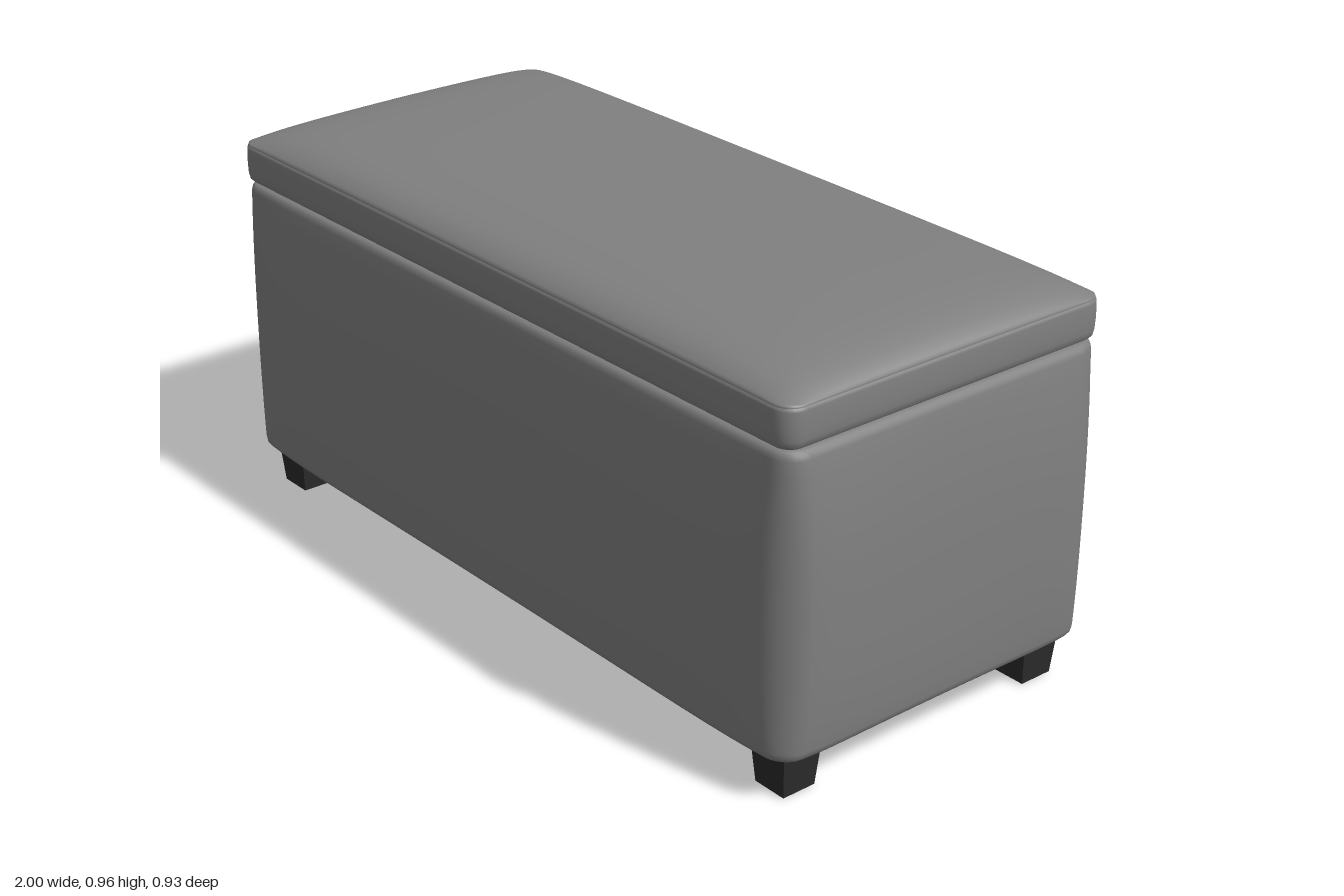
import * as THREE from 'three';

// Points of a rounded rectangle, counterclockwise seen from above
function roundedRing(hx, hz, r) {
  const pts = [];
  const corners = [[1, -1], [-1, -1], [-1, 1], [1, 1]];
  const arcs = corners.map(([sx, sz], k) => {
    const arc = [];
    for (let i = 0; i <= 6; i++) {
      const a = (k + i / 6) * Math.PI / 2;
      arc.push([sx * (hx - r) + r * Math.cos(a), sz * (hz - r) - r * Math.sin(a)]);
    }
    return arc;
  });
  arcs.forEach((arc, k) => {
    pts.push(...arc);
    const a = arc[6], b = arcs[(k + 1) % 4][0];
    for (let i = 1; i < 20; i++) {
      const t = (1 - Math.cos(Math.PI * i / 20)) / 2;
      pts.push([a[0] + (b[0] - a[0]) * t, a[1] + (b[1] - a[1]) * t]);
    }
  });
  return pts;
}

// Loft through [inset, y] rows from bottom to top, closed at both ends
function loft(hx, hz, r, rows, deform) {
  const pos = [], idx = [];
  let n = 0;
  for (const [d, y] of rows) {
    const ring = roundedRing(hx - d, hz - d, Math.max(r - d, 0.004));
    n = ring.length;
    for (const [x, z] of ring) pos.push(...deform(x, y, z));
  }
  for (let j = 0; j < rows.length - 1; j++) {
    for (let i = 0; i < n; i++) {
      const a = j * n + i, b = j * n + (i + 1) % n;
      idx.push(a, b, a + n, b, b + n, a + n);
    }
  }
  const last = (rows.length - 1) * n, c = pos.length / 3;
  pos.push(...deform(0, rows[0][1], 0), ...deform(0, rows[rows.length - 1][1], 0));
  for (let i = 0; i < n; i++) {
    const k = (i + 1) % n;
    idx.push(c, k, i, c + 1, last + i, last + k);
  }
  const g = new THREE.BufferGeometry();
  g.setAttribute('position', new THREE.Float32BufferAttribute(pos, 3));
  g.setIndex(idx);
  g.computeVertexNormals();
  return g;
}

export function createModel() {
  const group = new THREE.Group();
  const make = (name, color) => {
    const m = new THREE.MeshStandardMaterial({ color });
    m.name = name;
    return m;
  };
  const leather = make('grey leather', 0x808080);
  const darkWood = make('dark wood', 0x2b2b2b);
  darkWood.flatShading = true;
  const add = (name, geo, mat, x = 0, y = 0, z = 0) => {
    const mesh = new THREE.Mesh(geo, mat);
    mesh.name = name;
    mesh.position.set(x, y, z);
    group.add(mesh);
    return mesh;
  };

  // Padded box: sides swell outwards between the corners
  const HX = 0.973, HZ = 0.44;
  const swell = (t) => Math.max(0, 1 - t ** 8) * (0.8 + 0.4 * t * t);
  const bodyRows = [[0.43, 0.105], [0.06, 0.105], [0.03, 0.105], [0.018, 0.106], [0.008, 0.11], [0.002, 0.118], [0, 0.13]];
  for (let i = 1; i <= 18; i++) bodyRows.push([0, 0.13 + 0.655 * i / 18]);
  bodyRows.push([0.002, 0.796], [0.007, 0.802], [0.016, 0.805], [0.03, 0.805], [0.43, 0.805]);
  add('storageBox', loft(HX, HZ, 0.05, bodyRows, (x, y, z) => {
    const u = (y - 0.105) / 0.7;
    const b = Math.max(0, 1 - Math.abs((u - 0.43) / 0.57) ** 2.5);
    const tx = x / HX, tz = z / HZ;
    return [
      x + 0.029 * b * tx * swell(Math.abs(tz)),
      y,
      z + 0.028 * b * tz * swell(Math.abs(tx)),
    ];
  }), leather);

  // Cushioned lid: upright band, seam groove and domed top
  const LX = 0.974, LZ = 0.445, SEAM = 0.9;
  const lidRows = [[0.435, 0.809], [0.04, 0.809], [0.02, 0.809], [0.01, 0.811], [0.004, 0.817], [0.001, 0.83],
    [0, 0.85], [0, 0.875], [0.001, 0.892], [0.002, 0.897], [0.005, 0.899], [0.004, SEAM]];
  for (const d of [0.005, 0.009, 0.014, 0.02, 0.03, 0.04, 0.055, 0.075, 0.1, 0.14, 0.19, 0.25, 0.32, 0.38, 0.435]) {
    lidRows.push([d, SEAM + 0.0001]);
  }
  const puff = (d) => 1 - 0.6 * Math.exp(-d / 0.035) - 0.4 * Math.exp(-d / 0.15);
  add('cushionLid', loft(LX, LZ, 0.045, lidRows, (x, y, z) => {
    const rise = y > SEAM ? 0.06 * puff(LX - Math.abs(x)) * puff(LZ - Math.abs(z)) : 0;
    return [x, y + rise, z];
  }), leather);

  // Tapered square feet
  const foot = new THREE.CylinderGeometry(0.052 * Math.SQRT2, 0.043 * Math.SQRT2, 0.106, 4);
  foot.rotateY(Math.PI / 4);
  for (const sx of [-1, 1]) {
    for (const sz of [-1, 1]) add('foot', foot, darkWood, sx * 0.892, 0.053, sz * 0.353);
  }

  // Hinges in the gap at the back
  for (const sx of [-1, 1]) {
    add('hinge', new THREE.BoxGeometry(0.085, 0.014, 0.03), darkWood, sx * 0.68, 0.806, -0.431);
  }
  return group;
}
